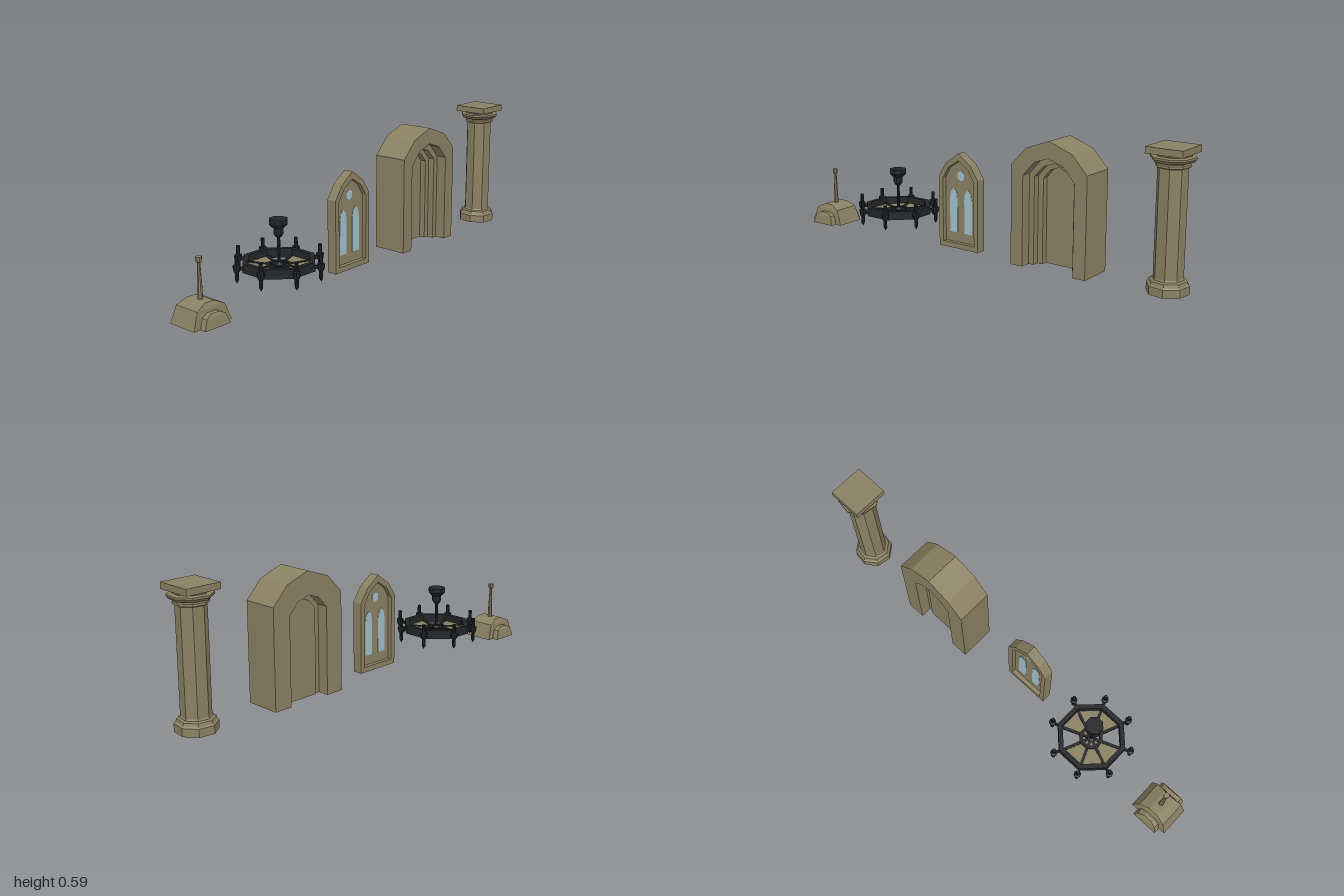
import * as THREE from 'three';

const mat = (name, color) => Object.assign(new THREE.MeshStandardMaterial({ color, side: THREE.DoubleSide }), { name });

// Faceted mesh from any geometry
function part(name, geo, material, x = 0, y = 0, z = 0) {
  const g = geo.index ? geo.toNonIndexed() : geo;
  g.computeVertexNormals();
  const m = new THREE.Mesh(g, material);
  m.name = name;
  m.position.set(x, y, z);
  return m;
}

const lathe = (pts, sides = 8, start = Math.PI / 8) =>
  new THREE.LatheGeometry(pts.map(p => new THREE.Vector2(...p)), sides, start);

// Pointed arch corners from the lower right round to the lower left
function arch(half, base, spring, shoulderHalf, shoulder, apex) {
  return [[half, base], [half, spring], [shoulderHalf, shoulder], [0, apex],
    [-shoulderHalf, shoulder], [-half, spring], [-half, base]];
}
const vecs = pts => pts.map(p => new THREE.Vector2(...p));

// Outline in the z-y plane, extruded from x0 to x1
function slab(pts, x0, x1, holes = []) {
  const s = new THREE.Shape(vecs(pts));
  holes.forEach(h => s.holes.push(new THREE.Path(vecs(h))));
  const g = new THREE.ExtrudeGeometry(s, { depth: x1 - x0, bevelEnabled: false });
  g.rotateY(Math.PI / 2);
  g.translate(x0, 0, 0);
  return g;
}

// Four-sided stack, open below; levels are [y, halfX, halfZ]
function stack(levels) {
  const n = levels.length - 1;
  const g = new THREE.CylinderGeometry(1, 1, 1, 4, n, true, Math.PI / 4);
  const p = g.attributes.position;
  for (let i = 0; i < p.count; i++) {
    const [y, hx, hz] = levels[Math.round((p.getY(i) + 0.5) * n)];
    p.setXYZ(i, Math.sign(p.getX(i)) * hx, y, Math.sign(p.getZ(i)) * hz);
  }
  return g;
}

function makeColumn(stone) {
  const c = new THREE.Group();
  c.name = 'column';
  c.add(part('columnShaft', lathe([
    [0, 0.012], [0.087, 0.012], [0.087, 0.046], [0.08, 0.052], [0.076, 0.064], [0.064, 0.068],
    [0.061, 0.075], [0.061, 0.512], [0.07, 0.516], [0.07, 0.526], [0.064, 0.53], [0.08, 0.535],
    [0.091, 0.547], [0.091, 0.555], [0.07, 0.558], [0.074, 0.567], [0, 0.567]], 8, 0.25), stone));
  c.add(part('columnTopSlab', new THREE.BoxGeometry(0.16, 0.027, 0.157), stone, 0, 0.5805, 0.002));
  c.position.set(-0.003, 0, -0.91);
  return c;
}

function makeDoorway(stone) {
  const d = new THREE.Group();
  d.name = 'doorway';
  const y0 = 0.01;
  const outer = arch(0.184, y0, 0.445, 0.11, 0.523, 0.563);
  const wide = arch(0.125, y0, 0.405, 0.07, 0.466, 0.49);
  const mid = arch(0.1, y0, 0.395, 0.056, 0.442, 0.462);
  const narrow = arch(0.075, y0, 0.385, 0.042, 0.424, 0.44);
  // Stepped layers through the wall, each cut by its opening
  [[wide, 0.03, 0.079], [mid, 0, 0.03], [narrow, -0.032, 0], [mid, -0.083, -0.032]].forEach(([open, a, b]) =>
    d.add(part('doorwayLayer', slab([...outer, ...open.slice().reverse()], a, b), stone)));
  d.add(part('doorPanel', slab(narrow, -0.04, -0.028), stone));
  d.position.z = -0.398;
  return d;
}

function makeWindow(stone, glass) {
  const w = new THREE.Group();
  w.name = 'archedWindow';
  const inner = arch(0.086, 0.036, 0.325, 0.054, 0.376, 0.412);
  w.add(part('windowFrame', slab(arch(0.108, 0.012, 0.335, 0.066, 0.398, 0.445), 0, 0.046, [inner]), stone));
  w.add(part('windowPanel', slab(inner, 0.02, 0.026), stone));
  // Two lancets and a small rose light
  for (const s of [-1, 1]) {
    const pane = arch(0.021, 0.08, 0.235, 0.016, 0.265, 0.284);
    w.add(part('lancetPane', slab(pane, 0.0185, 0.0275), glass, 0, 0, s * 0.04));
  }
  const rose = [...Array(6).keys()].map(i => {
    const a = i * Math.PI / 3 + Math.PI / 6;
    return [0.021 * Math.cos(a), 0.34 + 0.024 * Math.sin(a)];
  });
  w.add(part('rosePane', slab(rose, 0.0185, 0.0275), glass));
  w.position.z = 0.095;
  return w;
}

function makeChandelier(iron, stone) {
  const c = new THREE.Group();
  c.name = 'chandelier';
  const band = (r0, r1, a, b) => lathe([[r0, a], [r1, a], [r1, b], [r0, b], [r0, a]]);
  c.add(part('outerRing', band(0.135, 0.157, 0.108, 0.147), iron));
  c.add(part('innerRing', band(0.04, 0.055, 0.106, 0.124), iron));
  c.add(part('hangingRod', lathe([
    [0, 0.092], [0.012, 0.094], [0.02, 0.108], [0.02, 0.122], [0.007, 0.132], [0.007, 0.235], [0.013, 0.24],
    [0.022, 0.254], [0.022, 0.278], [0.028, 0.281], [0.04, 0.295], [0.04, 0.315], [0, 0.315]]), iron));
  for (let i = 0; i < 8; i++) {
    // Spoke, arm and torch at each corner
    const arm = new THREE.Group();
    arm.name = 'arm';
    arm.rotation.y = (i + 0.5) * Math.PI / 4;
    arm.add(part('spoke', new THREE.BoxGeometry(0.125, 0.01, 0.013), iron, 0.08, 0.115, 0));
    arm.add(part('torchBracket', new THREE.BoxGeometry(0.03, 0.014, 0.01), iron, 0.166, 0.128, 0));
    arm.add(part('torch', lathe([
      [0, 0.067], [0.008, 0.082], [0.008, 0.112], [0.013, 0.12], [0.016, 0.136], [0.016, 0.144],
      [0.008, 0.147], [0.008, 0.183], [0, 0.183]]), iron, 0.182, 0, 0));
    c.add(arm);
    // Flat plates between the spokes, with two bays left open
    if (i !== 2 && i !== 6) {
      const plate = new THREE.CylinderGeometry(0.125, 0.125, 0.003, 1, 1, false, i * Math.PI / 4 + Math.PI / 8, Math.PI / 4);
      const tri = new THREE.Shape(vecs([[0, 0],
        [0.135 * Math.cos(Math.PI / 8), 0.135 * Math.sin(Math.PI / 8)],
        [0.135 * Math.cos(Math.PI / 8), -0.135 * Math.sin(Math.PI / 8)]]));
      plate.copy(new THREE.ExtrudeGeometry(tri, { depth: 0.003, bevelEnabled: false }));
      plate.rotateX(-Math.PI / 2);
      plate.rotateY((i + 1) * Math.PI / 4);
      c.add(part('bayPlate', plate, stone, 0, 0.114, 0));
    }
  }
  c.position.set(-0.002, 0, 0.492);
  return c;
}

function makePedestal(stone) {
  const p = new THREE.Group();
  p.name = 'pedestal';
  p.add(part('pedestalBody', stack([[0, 0.069, 0.093], [0.07, 0.061, 0.067], [0.091, 0.052, 0.022], [0.091, 0, 0]]), stone));
  p.add(part('pedestalArms', stack([[0, 0.097, 0.062], [0.042, 0.091, 0.048], [0.056, 0.083, 0.022], [0.056, 0, 0]]), stone));
  p.add(part('pedestalStaff', lathe([
    [0, 0.085], [0.011, 0.09], [0.01, 0.14], [0.006, 0.234], [0.012, 0.24], [0.013, 0.258], [0, 0.258]]), stone));
  p.position.set(-0.004, 0, 0.907);
  return p;
}

export function createModel() {
  const stone = mat('stone', 0x8a8163);
  const iron = mat('iron', 0x242628);
  const glass = mat('glass', 0xa3c0cb);
  const model = new THREE.Group();
  model.name = 'hallPieces';
  model.add(makeColumn(stone), makeDoorway(stone), makeWindow(stone, glass),
    makeChandelier(iron, stone), makePedestal(stone));
  return model;
}
